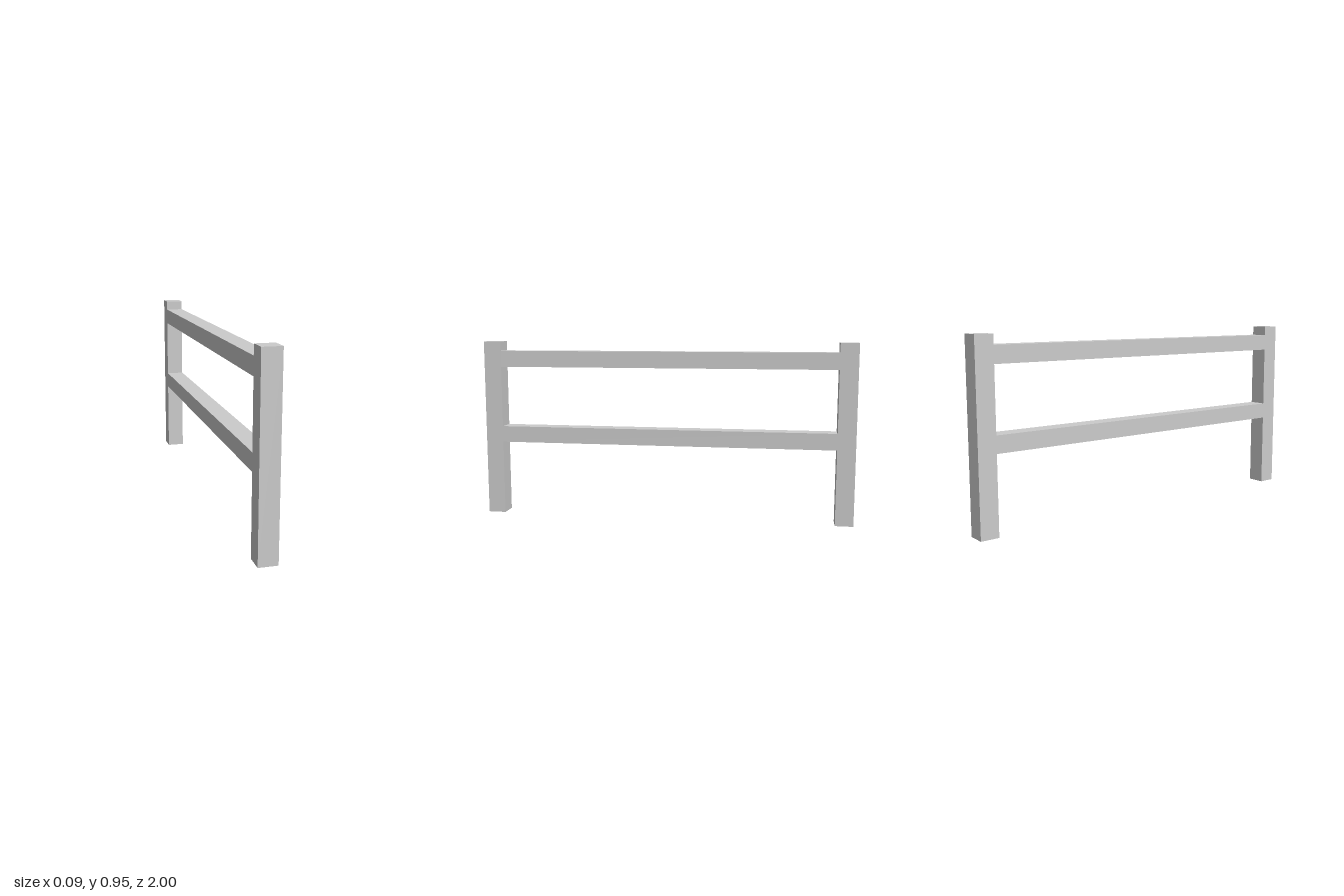
import * as THREE from 'three';

const WIDTH = 0.095;
const POST_HEIGHT = 0.953;
const RAIL_HEIGHT = 0.087;
const LENGTH = 2;

export function createModel() {
  const fence = new THREE.Group();
  fence.name = 'fenceSection';
  const material = new THREE.MeshStandardMaterial({ color: 0xcccccc, flatShading: true });

  const addBeam = (name, height, depth, y, z) => {
    const beam = new THREE.Mesh(new THREE.BoxGeometry(WIDTH, height, depth), material);
    beam.name = name;
    beam.position.set(0, y, z);
    fence.add(beam);
  };

  // Square end posts
  const postZ = (LENGTH - WIDTH) / 2;
  addBeam('frontPost', POST_HEIGHT, WIDTH, POST_HEIGHT / 2, postZ);
  addBeam('backPost', POST_HEIGHT, WIDTH, POST_HEIGHT / 2, -postZ);

  // Rails spanning between the posts, flush with their sides
  const span = LENGTH - 2 * WIDTH;
  addBeam('lowerRail', RAIL_HEIGHT, span, 0.444, 0);
  addBeam('upperRail', RAIL_HEIGHT, span, 0.859, 0);

  return fence;
}
